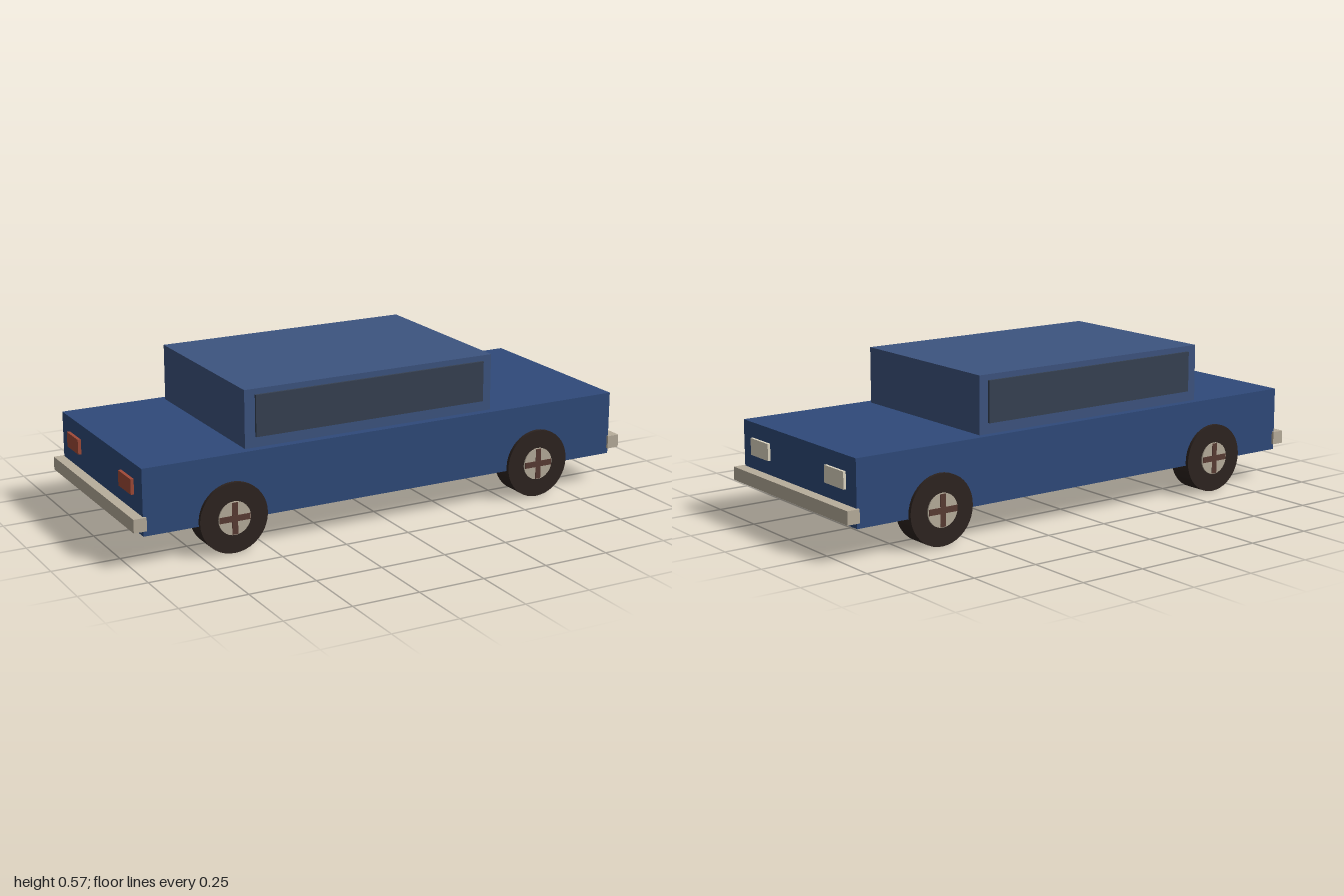
import * as THREE from 'three';

export function createModel() {
  const car = new THREE.Group();
  car.name = 'car';

  const paint = (color) => new THREE.MeshStandardMaterial({ color });
  const bodyPaint = paint(0x2f4a7a);
  const cabinPaint = paint(0x3d5480);
  const glass = paint(0x364152);
  const metal = paint(0xb8ae9c);
  const headlightPaint = paint(0xe0d8c4);
  const taillightPaint = paint(0xa04a38);
  const rubber = paint(0x2e2420);
  const spokePaint = paint(0x5a3c34);

  // Box given by its extents along each axis
  function box(name, material, [x0, x1], [y0, y1], [z0, z1], parent = car) {
    const mesh = new THREE.Mesh(new THREE.BoxGeometry(x1 - x0, y1 - y0, z1 - z0), material);
    mesh.position.set((x0 + x1) / 2, (y0 + y1) / 2, (z0 + z1) / 2);
    mesh.name = name;
    parent.add(mesh);
    return mesh;
  }

  // Body and cabin
  box('body', bodyPaint, [-0.962, 0.958], [0.115, 0.356], [-0.377, 0.377]);
  box('cabin', cabinPaint, [-0.565, 0.435], [0.356, 0.567], [-0.347, 0.347]);

  // Bumpers
  box('frontBumper', metal, [0.952, 1], [0.136, 0.185], [-0.386, 0.386]);
  box('rearBumper', metal, [-1, -0.952], [0.136, 0.185], [-0.386, 0.386]);

  // Side windows and lamps, mirrored across the car
  for (const side of [1, -1]) {
    const span = (a, b) => (side > 0 ? [a, b] : [-b, -a]);
    const label = side > 0 ? 'Near' : 'Far';
    box('sideWindow' + label, glass, [-0.525, 0.398], [0.395, 0.546], span(0.337, 0.356));
    box('headlight' + label, headlightPaint, [0.95, 0.968], [0.238, 0.3], span(0.19, 0.313));
    box('taillight' + label, taillightPaint, [-0.974, -0.95], [0.244, 0.3], span(0.193, 0.305));
  }

  // Wheel: tyre, hub showing on both faces, and crossed spokes outside
  const tyreGeometry = new THREE.CylinderGeometry(0.129, 0.129, 0.092, 40).rotateX(Math.PI / 2);
  const hubGeometry = new THREE.CylinderGeometry(0.061, 0.061, 0.102, 32).rotateX(Math.PI / 2);
  function makeWheel(name) {
    const wheel = new THREE.Group();
    wheel.name = name;
    const tyre = new THREE.Mesh(tyreGeometry, rubber);
    tyre.name = 'tyre';
    const hub = new THREE.Mesh(hubGeometry, metal);
    hub.name = 'hub';
    wheel.add(tyre, hub);
    box('spokeUpright', spokePaint, [-0.011, 0.011], [-0.058, 0.058], [0.04, 0.053], wheel);
    box('spokeLevel', spokePaint, [-0.058, 0.058], [-0.011, 0.011], [0.04, 0.0535], wheel);
    return wheel;
  }

  for (const [end, x] of [['front', 0.625], ['rear', -0.63]]) {
    for (const side of [1, -1]) {
      const wheel = makeWheel(end + 'Wheel' + (side > 0 ? 'Near' : 'Far'));
      wheel.position.set(x, 0.129, side * 0.344);
      if (side < 0) wheel.rotation.y = Math.PI;
      car.add(wheel);
    }
  }

  return car;
}
